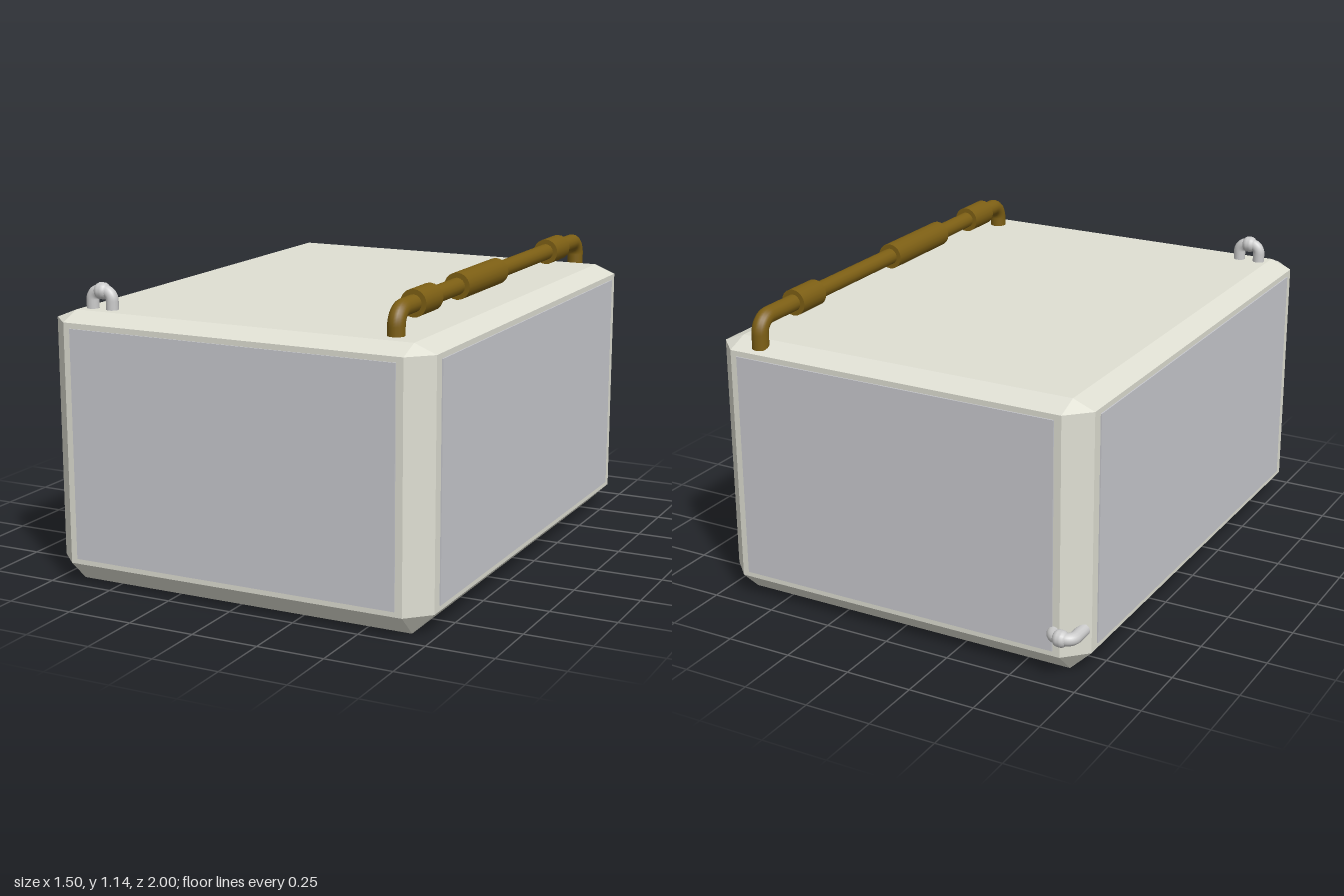
import * as THREE from 'three';
import { ConvexGeometry } from 'three/addons/geometries/ConvexGeometry.js';

const material = (color) => new THREE.MeshStandardMaterial({ color });

// U-shaped pipe path: two legs joined by a straight run with rounded elbows
function hoopPath(half, height, bend) {
  const v = (x, y) => new THREE.Vector3(x, y, 0);
  const path = new THREE.CurvePath();
  const k = bend * 0.45; // handle offset for a round elbow
  path.add(new THREE.LineCurve3(v(-half, 0), v(-half, height - bend)));
  path.add(new THREE.CubicBezierCurve3(v(-half, height - bend), v(-half, height - k), v(-half + k, height), v(-half + bend, height)));
  path.add(new THREE.LineCurve3(v(-half + bend, height), v(half - bend, height)));
  path.add(new THREE.CubicBezierCurve3(v(half - bend, height), v(half - k, height), v(half, height - k), v(half, height - bend)));
  path.add(new THREE.LineCurve3(v(half, height - bend), v(half, 0)));
  return path;
}

export function createModel() {
  const model = new THREE.Group();
  const shell = material(0xdfdfd3);
  const panelGrey = material(0xc8c9ce);
  const steel = material(0xcccccc);
  const brass = material(0x7d5f14);

  const add = (parent, name, geometry, mat, x = 0, y = 0, z = 0) => {
    const mesh = new THREE.Mesh(geometry, mat);
    mesh.name = name;
    mesh.position.set(x, y, z);
    parent.add(mesh);
    return mesh;
  };

  // Chamfered box body: octagonal walls closing to rectangles above and below
  const hx = 0.744, hz = 0.968, c = 0.082, cz = 0.0275;
  const points = [];
  for (const sx of [-1, 1]) for (const sz of [-1, 1]) {
    for (const y of [0, 1.003]) points.push(new THREE.Vector3(sx * (hx - c), y, sz * (hz - c)));
    for (const y of [0.08, 0.97]) {
      points.push(new THREE.Vector3(sx * hx, y, sz * (hz - c)));
      points.push(new THREE.Vector3(sx * (hx - c), y, sz * hz));
    }
  }
  add(model, 'body', new ConvexGeometry(points), shell, 0, 0, cz);

  // Thin panels standing slightly proud of the four walls
  for (const [s, ends, sides] of [[1, 'frontPanel', 'leftPanel'], [-1, 'backPanel', 'rightPanel']]) {
    add(model, ends, new THREE.BoxGeometry(1.27, 0.85, 0.02), panelGrey, 0, 0.525, cz + s * (hz - 0.0055));
    add(model, sides, new THREE.BoxGeometry(0.02, 0.85, 1.69), panelGrey, s * (hx - 0.0055), 0.525, cz);
  }

  // Long pipe rail along the top, with three couplings
  const rail = new THREE.Group();
  rail.name = 'pipeRail';
  rail.position.set(0.56, 0.98, -0.032);
  model.add(rail);
  const pipe = add(rail, 'pipe', new THREE.TubeGeometry(hoopPath(0.865, 0.11, 0.055), 240, 0.031, 16), brass);
  pipe.rotation.y = Math.PI / 2;
  for (const [z0, z1] of [[0.56, 0.7], [-0.035, 0.33], [-0.69, -0.55]]) {
    const coupling = add(rail, 'coupling', new THREE.CylinderGeometry(0.049, 0.049, z1 - z0, 20), brass, 0, 0.11, (z0 + z1) / 2 + 0.032);
    coupling.rotation.x = Math.PI / 2;
  }

  // Small lifting hoops with a rounded bead in the middle
  const addHoop = (name, height) => {
    const hoop = new THREE.Group();
    hoop.name = name;
    add(hoop, 'hoopTube', new THREE.TubeGeometry(hoopPath(0.041, height, 0.032), 60, 0.023, 14), steel);
    const bead = add(hoop, 'hoopBead', new THREE.CapsuleGeometry(0.031, 0.012, 6, 16), steel, 0, height, 0);
    bead.scale.y = 0.8;
    bead.rotation.z = Math.PI / 2;
    model.add(hoop);
    return hoop;
  };
  addHoop('topHoop', 0.088).position.set(-0.585, 0.98, 0.86);
  const backHoop = addHoop('backHoop', 0.095);
  backHoop.position.set(-0.68, 0.173, -0.873);
  backHoop.rotation.x = -Math.PI / 2;

  return model;
}
